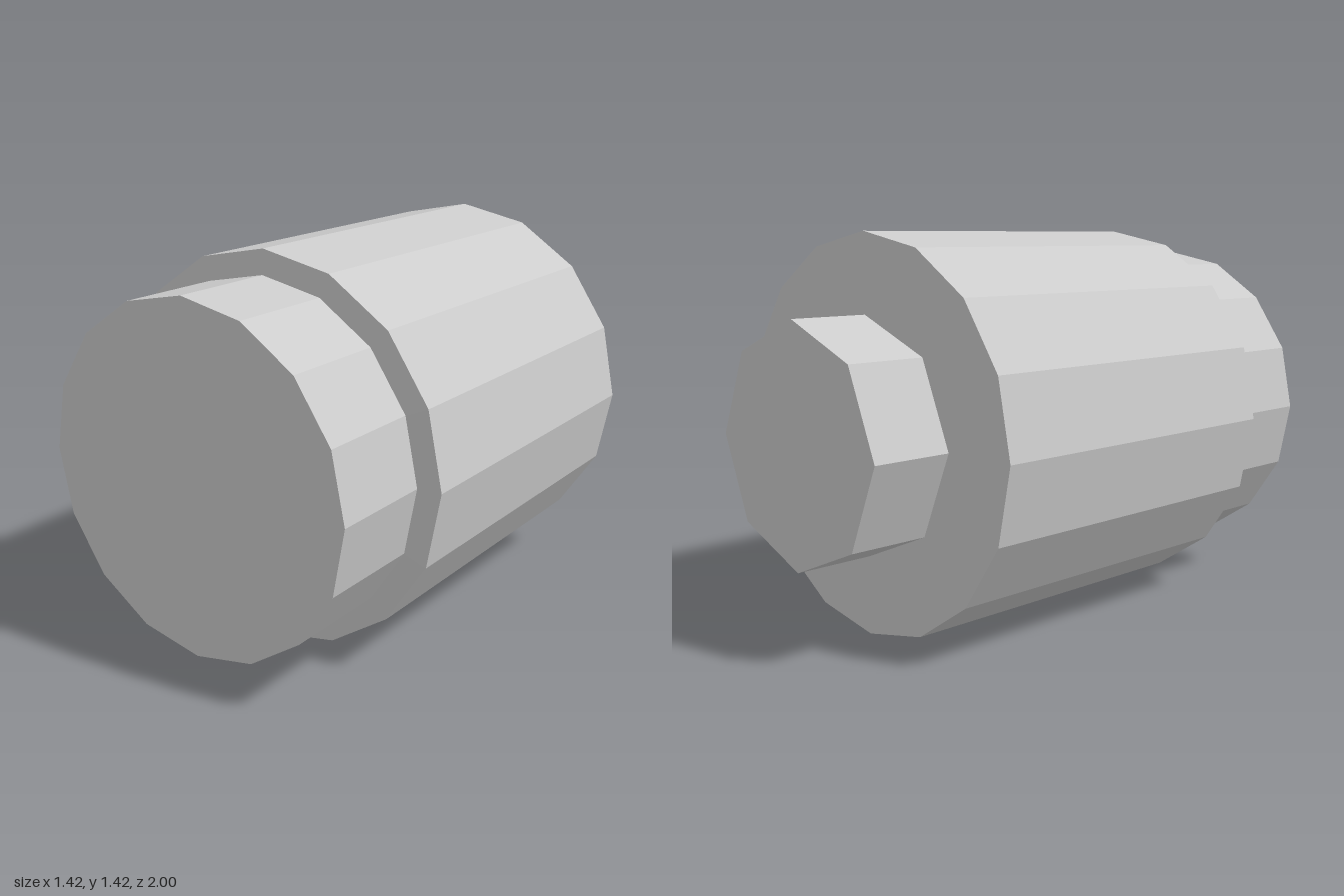
import * as THREE from 'three';

const AXIS_Y = 0.708;

export function createModel() {
  const group = new THREE.Group();
  const material = new THREE.MeshStandardMaterial({ color: 0xcccccc, flatShading: true });

  // Faceted drum lying along z, from zBack to zFront
  function addDrum(name, sides, backRadius, frontRadius, zBack, zFront, open = false) {
    const geometry = new THREE.CylinderGeometry(frontRadius, backRadius, zFront - zBack, sides, 1, open);
    geometry.rotateX(Math.PI / 2);
    const mesh = new THREE.Mesh(geometry, material);
    mesh.name = name;
    mesh.position.set(0, AXIS_Y, (zBack + zFront) / 2);
    group.add(mesh);
  }

  // Main barrel and its very shallow sloping shoulder
  addDrum('barrel', 16, 0.708, 0.708, -0.7, 0.604);
  addDrum('shoulder', 16, 0.708, 0.62, 0.604, 0.61, true);

  // Narrower front end
  addDrum('frontCollar', 16, 0.62, 0.62, 0.608, 1);

  // Octagonal stub at the back
  addDrum('rearStub', 8, 0.425, 0.425, -1, -0.7);

  return group;
}
